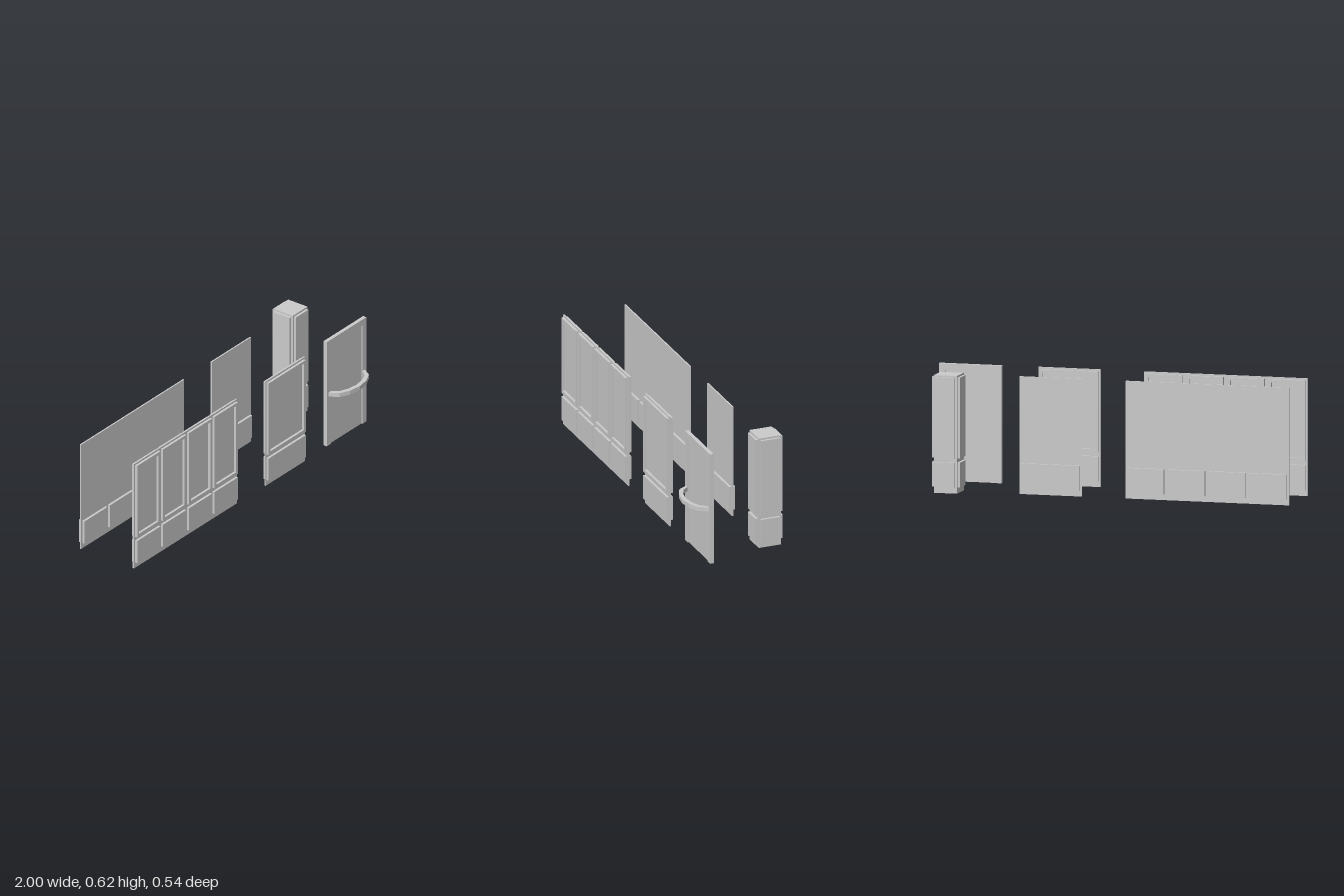
import * as THREE from 'three';

const material = new THREE.MeshStandardMaterial({ color: 0xcccccc, flatShading: true });
const HEIGHT = 0.62;
const UPPER = [0.184, 0.61];   // bottom and top of the upper field
const LOWER = [0.031, 0.163];  // bottom and top of the lower field
const SLAB = 0.008, RAISED = 0.035;

function add(parent, name, geometry, x = 0, y = 0, z = 0) {
  const mesh = new THREE.Mesh(geometry, material);
  mesh.name = name;
  mesh.position.set(x, y, z);
  parent.add(mesh);
  return mesh;
}

// Box spanning y0 to y1, centred on x and z
function slab(parent, name, w, [y0, y1], d, x = 0, z = 0) {
  return add(parent, name, new THREE.BoxGeometry(w, y1 - y0, d), x, (y0 + y1) / 2, z);
}

// Rectangular frame with an open middle
function frameGeometry(w, h, border, depth) {
  const rect = (T, a, b) => new T([[-a, -b], [a, -b], [a, b], [-a, b]].map(p => new THREE.Vector2(...p)));
  const shape = rect(THREE.Shape, w / 2, h / 2);
  shape.holes.push(rect(THREE.Path, w / 2 - border, h / 2 - border));
  return new THREE.ExtrudeGeometry(shape, { depth, bevelEnabled: false }).translate(0, 0, -depth / 2);
}

// Thin wall split into bays, each with a raised lower panel and optionally a window frame
function wall(name, width, bays, panelWidth, framed, x, z) {
  const g = new THREE.Group();
  g.name = name;
  g.position.set(x, 0, z);
  slab(g, 'wallSheet', width, [0, HEIGHT], SLAB);
  const pitch = width / bays;
  for (let i = 0; i < bays; i++) {
    const px = (i - (bays - 1) / 2) * pitch;
    slab(g, 'lowerPanel', panelWidth, LOWER, RAISED, px);
    if (framed) {
      const frame = frameGeometry(panelWidth, UPPER[1] - UPPER[0], 0.016, RAISED);
      add(g, 'windowFrame', frame, px, (UPPER[0] + UPPER[1]) / 2);
    }
  }
  return g;
}

// Door leaf: two stiles and a top rail around a recessed panel, with a bowed push bar
function door(x, z) {
  const g = new THREE.Group();
  g.name = 'door';
  g.position.set(x, 0, z);
  const w = 0.34, d = 0.021, stile = 0.034;
  for (const s of [-1, 1]) slab(g, 'doorStile', stile, [0, HEIGHT], d, s * (w - stile) / 2);
  slab(g, 'doorTopRail', w - 2 * stile, [HEIGHT - stile, HEIGHT], d);
  slab(g, 'doorPanel', w - 2 * stile, [0, HEIGHT - stile], SLAB);

  // Half outlines of the bar seen from above, mirrored into full arcs
  const arc = half => [...half, ...half.slice(0, -1).reverse().map(([a, b]) => [-a, b])];
  const outer = arc([[0.157, 0], [0.127, 0.05], [0.07, 0.077], [0, 0.088]]);
  const inner = arc([[0.137, 0], [0.11, 0.034], [0.063, 0.055], [0, 0.065]]);
  const shape = new THREE.Shape([...outer, ...inner.reverse()].map(p => new THREE.Vector2(...p)));
  const bar = new THREE.ExtrudeGeometry(shape, { depth: 0.023, bevelEnabled: false }).rotateX(Math.PI / 2);
  add(g, 'pushBar', bar, 0, 0.314, d / 2);
  return g;
}

// Square post with raised panels on all four sides
function post(x, z) {
  const g = new THREE.Group();
  g.name = 'post';
  g.position.set(x, 0, z);
  const body = 0.126, panel = 0.106, across = 0.153;
  slab(g, 'postCore', body, [0, HEIGHT], body);
  const raise = (across - body) / 2;
  for (let i = 0; i < 4; i++) {
    const side = new THREE.Group();
    side.name = 'postSide';
    side.rotation.y = i * Math.PI / 2;
    for (const span of [LOWER, UPPER]) slab(side, 'postPanel', panel, span, raise, 0, (body + raise) / 2);
    g.add(side);
  }
  return g;
}

export function createModel() {
  const model = new THREE.Group();
  model.name = 'wallPanelSet';
  model.add(
    wall('wideWindowWall', 0.888, 4, 0.2, true, -0.556, 0.179),
    wall('narrowWindowWall', 0.338, 1, 0.32, true, 0.295, 0.184),
    wall('wideSolidWall', 0.888, 4, 0.2, false, -0.556, -0.168),
    wall('narrowSolidWall', 0.338, 1, 0.32, false, 0.295, -0.168),
    door(0.83, 0.1725),
    post(0.842, -0.194),
  );
  return model;
}
